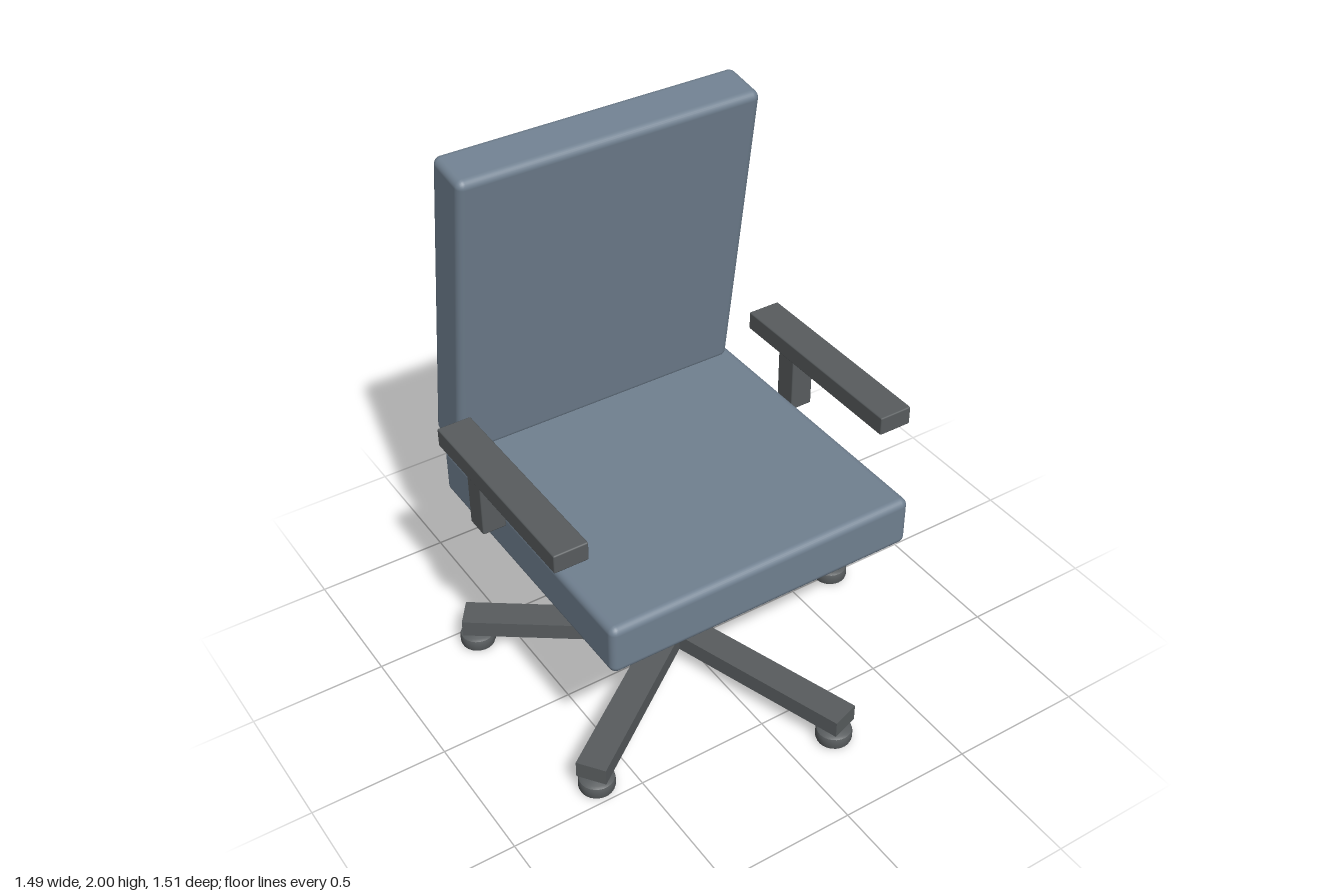
import * as THREE from 'three';
import { RoundedBoxGeometry } from 'three/addons/geometries/RoundedBoxGeometry.js';
import { toCreasedNormals } from 'three/addons/utils/BufferGeometryUtils.js';

const AXIS_X = -0.05; // the chair's own centre line

export function createModel() {
  const model = new THREE.Group();
  model.name = 'officeChair';
  const chair = new THREE.Group();
  chair.name = 'chair';
  chair.position.x = AXIS_X;
  model.add(chair);

  const fabric = new THREE.MeshStandardMaterial({ color: 0x708090 });
  const frame = new THREE.MeshStandardMaterial({ color: 0x585c5e });

  const add = (parent, name, geometry, material, x, y, z) => {
    const mesh = new THREE.Mesh(geometry, material);
    mesh.name = name;
    mesh.position.set(x, y, z);
    parent.add(mesh);
    return mesh;
  };

  // Cushions
  add(chair, 'seat', new RoundedBoxGeometry(1.18, 0.19, 1.13, 3, 0.028), fabric, 0, 0.735, 0);
  const back = add(chair, 'backrest', new RoundedBoxGeometry(1.13, 1.18, 0.18, 3, 0.028), fabric, 0, 1.41, -0.49);
  back.rotation.x = 0.15;

  // Armrests
  for (const side of [1, -1]) {
    const arm = new THREE.Group();
    arm.name = side > 0 ? 'leftArmrest' : 'rightArmrest';
    add(arm, 'armPad', new RoundedBoxGeometry(0.125, 0.07, 0.77, 1, 0.005), frame, side * 0.633, 1.045, 0.025);
    add(arm, 'armPost', new RoundedBoxGeometry(0.088, 0.235, 0.088, 1, 0.005), frame, side * 0.633, 0.902, -0.155);
    chair.add(arm);
  }

  // Column
  add(chair, 'column', new THREE.CylinderGeometry(0.08, 0.08, 0.52, 32), frame, 0, 0.37, 0);

  // Five-legged base with a flat round foot under each leg
  const footProfile = [[0, 0], [0.052, 0], [0.062, 0.006], [0.065, 0.015], [0.065, 0.04], [0.062, 0.049], [0.052, 0.055], [0, 0.055]]
    .map(([r, y]) => new THREE.Vector2(r, y));
  const footGeometry = toCreasedNormals(new THREE.LatheGeometry(footProfile, 24), 0.7);
  const legGeometry = new THREE.BoxGeometry(0.77, 0.065, 0.11);
  for (let i = 0; i < 5; i++) {
    const leg = new THREE.Group();
    leg.name = `baseLeg${i + 1}`;
    leg.rotation.y = (i * Math.PI * 2) / 5;
    add(leg, 'legBar', legGeometry, frame, 0.385, 0.108, 0);
    add(leg, 'foot', footGeometry, frame, 0.725, 0, 0);
    chair.add(leg);
  }

  return model;
}
